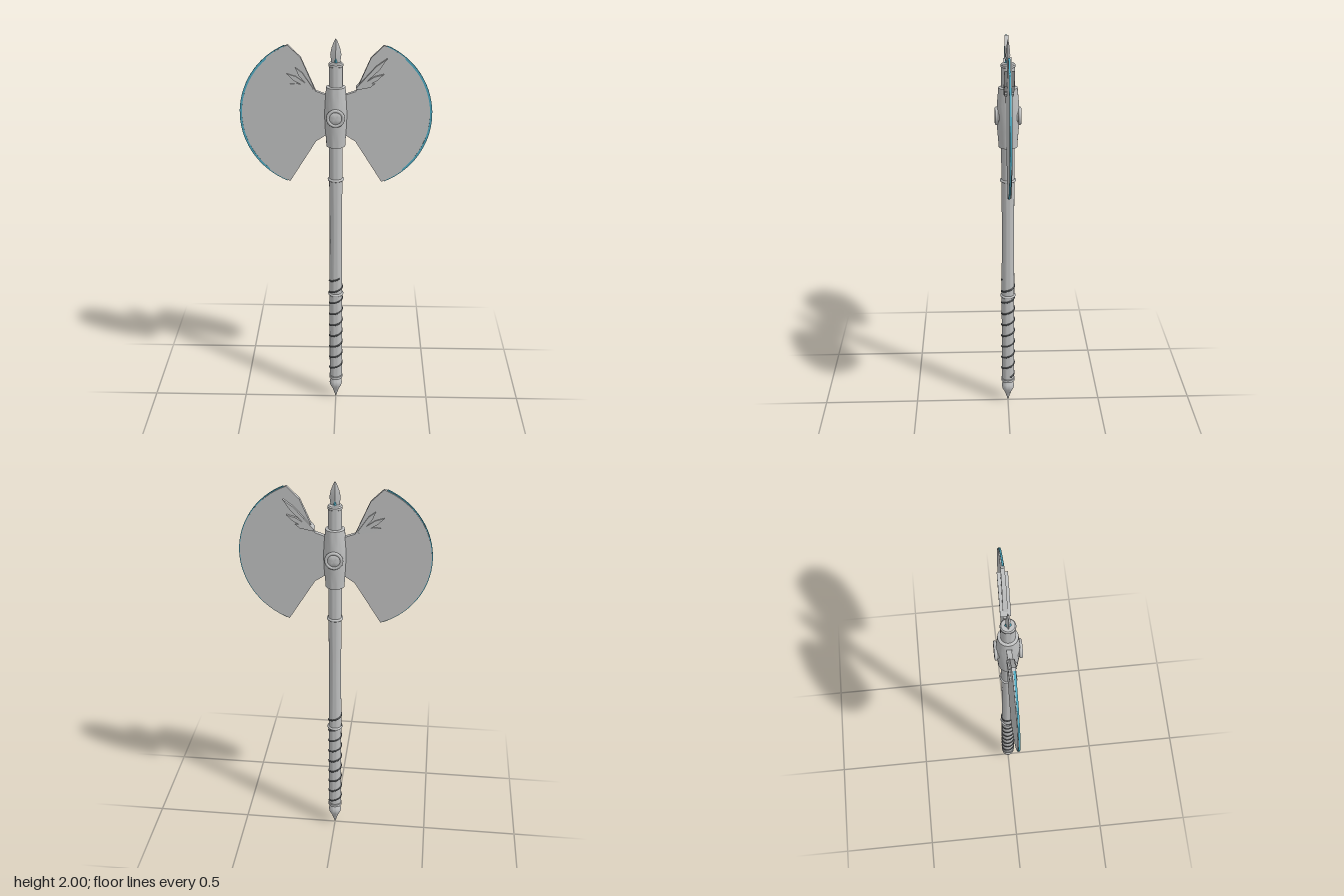
import * as THREE from 'three';
import { toCreasedNormals } from 'three/addons/utils/BufferGeometryUtils.js';

const steel = new THREE.MeshStandardMaterial({ color: 0xbfc0c0 });
steel.name = 'steel';
const wrapGrey = new THREE.MeshStandardMaterial({ color: 0x606365 });
wrapGrey.name = 'wrap grey';
const teal = new THREE.MeshStandardMaterial({ color: 0x4fa9c0 });
teal.name = 'edge teal';

const HEAD_Y = 1.63;

function part(name, geometry, material = steel) {
  const mesh = new THREE.Mesh(geometry, material);
  mesh.name = name;
  return mesh;
}

// Turned part from [radius, y] pairs listed bottom to top
function turned(points, segments = 32) {
  const profile = points.map(([r, y]) => new THREE.Vector2(r, y));
  return toCreasedNormals(new THREE.LatheGeometry(profile, segments), 0.6);
}

// Extruded plate centred on z
function plate(shape, depth, curveSegments = 12) {
  const geometry = new THREE.ExtrudeGeometry(shape, { depth, bevelEnabled: false, curveSegments });
  return geometry.translate(0, 0, -depth / 2);
}

// Points along the cutting edge, from the top tip to the bottom tip
function edgeArc(side, radius, halfAngle, steps = 32) {
  const points = [];
  for (let i = 0; i <= steps; i++) {
    const a = halfAngle * (1 - (2 * i) / steps);
    points.push(new THREE.Vector2(side * (0.0925 + radius * Math.cos(a)), HEAD_Y + radius * Math.sin(a)));
  }
  return points;
}

// Blade plate that thins toward the cutting edge
function bladeGeometry(side) {
  const at = (x, y) => new THREE.Vector2(side * x, y);
  const shape = new THREE.Shape([
    at(0, 1.735), at(0.053, 1.735), at(0.095, 1.75), at(0.164, 1.91),
    ...edgeArc(side, 0.364, 1.2),
    at(0.095, 1.50), at(0.05, 1.53), at(0, 1.53),
  ]);
  const geometry = plate(shape, 1);
  const p = geometry.attributes.position;
  for (let i = 0; i < p.count; i++) {
    const t = Math.abs(p.getX(i)) / 0.46;
    p.setZ(i, p.getZ(i) * THREE.MathUtils.lerp(0.026, 0.009, t));
  }
  return toCreasedNormals(geometry, 0.6);
}

// Thin band along the cutting edge, set slightly forward
function edgeGeometry(side) {
  const shape = new THREE.Shape([
    ...edgeArc(side, 0.3685, 1.16),
    ...edgeArc(side, 0.358, 1.16).reverse(),
  ]);
  return toCreasedNormals(plate(shape, 0.009).translate(0, 0, 0.0025), 0.6);
}

// Slim pointed finger running from a to b, passing through the blade
function finger(a, b, width, depth) {
  const length = Math.hypot(b[0] - a[0], b[1] - a[1]);
  const shape = new THREE.Shape();
  shape.moveTo(0, -width * 0.25);
  shape.lineTo(length * 0.7, -width * 0.5);
  shape.lineTo(length, 0);
  shape.lineTo(length * 0.7, width * 0.5);
  shape.lineTo(0, width * 0.25);
  const geometry = plate(shape, depth);
  geometry.rotateZ(Math.atan2(b[1] - a[1], b[0] - a[0]));
  return geometry.translate(a[0], a[1], 0);
}

// Spiral around the grip
class Helix extends THREE.Curve {
  getPoint(t, target = new THREE.Vector3()) {
    const turn = THREE.MathUtils.lerp(-0.7, 8.1, t);
    const a = turn * Math.PI * 2;
    return target.set(0.033 * Math.sin(a), 0.21 + 0.067 * turn, 0.033 * Math.cos(a));
  }
}

export function createModel() {
  const model = new THREE.Group();
  model.name = 'doubleAxe';

  // Pole and its fittings
  model.add(part('pommelSpike', turned([
    [0, 0], [0.008, 0.025], [0.018, 0.055], [0.03, 0.078], [0.034, 0.095],
    [0.031, 0.11], [0.023, 0.125], [0.023, 0.14],
  ])));
  model.add(part('shaft', turned([
    [0, 0.13], [0.036, 0.13], [0.036, 0.145], [0.033, 0.148], [0.033, 0.75],
    [0.031, 0.95], [0.031, 1.1], [0.033, 1.3], [0.033, 1.868],
    [0.035, 1.87], [0.035, 1.88], [0.03, 1.886], [0, 1.888],
  ])));
  model.add(part('gripWrap', new THREE.TubeGeometry(new Helix(), 300, 0.0045, 6), wrapGrey));
  for (const y of [0.655, 1.3]) {
    const ring = part('shaftRing', new THREE.TorusGeometry(0.033, 0.007, 10, 32));
    ring.rotation.x = Math.PI / 2;
    ring.position.y = y;
    model.add(ring);
  }

  // Leaf-shaped top spike with a coloured base
  const spike = part('topSpike', turned([
    [0, 1.88], [0.02, 1.88], [0.026, 1.925], [0.02, 1.955], [0.009, 1.985], [0, 2],
  ], 4));
  spike.scale.z = 0.42;
  model.add(spike);
  for (const side of [1, -1]) {
    const inlay = part('spikeInlay', new THREE.ConeGeometry(0.008, 0.03, 4), teal);
    inlay.position.set(0, 1.9, side * 0.008);
    model.add(inlay);
  }

  // Socket holding the blades
  model.add(part('socket', turned([
    [0.033, 1.475], [0.046, 1.475], [0.047, 1.5], [0.052, 1.56], [0.055, HEAD_Y],
    [0.053, 1.69], [0.048, 1.745], [0.046, 1.77], [0.033, 1.773],
  ])));

  // Round bosses on both faces
  for (const side of [1, -1]) {
    const boss = new THREE.Group();
    boss.name = 'boss';
    const disc = part('bossDome', turned([[0.036, 0.035], [0.036, 0.054], [0.026, 0.061], [0.012, 0.064], [0, 0.065]]));
    disc.rotation.x = Math.PI / 2;
    const rim = part('bossRim', new THREE.TorusGeometry(0.037, 0.008, 10, 32));
    rim.position.z = 0.056;
    boss.add(disc, rim);
    boss.position.y = HEAD_Y;
    boss.rotation.y = side > 0 ? 0 : Math.PI;
    model.add(boss);
  }

  // Blades with coloured cutting edges
  for (const side of [1, -1]) {
    const label = side > 0 ? 'left' : 'right';
    model.add(part(label + 'Blade', bladeGeometry(side)));
    model.add(part(label + 'CuttingEdge', edgeGeometry(side), teal));
  }

  // Fanned ornaments on the blades
  const fans = [
    { name: 'leftFan', base: [0.1, 1.765], tips: [[0.24, 1.91], [0.225, 1.835], [0.185, 1.79]], depth: 0.048 },
    { name: 'rightFan', base: [-0.11, 1.76], tips: [[-0.19, 1.865], [-0.23, 1.835], [-0.215, 1.785]], depth: 0.036 },
  ];
  for (const { name, base, tips, depth } of fans) {
    const fan = new THREE.Group();
    fan.name = name;
    tips.forEach((tip, i) => fan.add(part('fanFinger', finger(base, tip, 0.022, depth - i * 0.003))));
    model.add(fan);
  }

  return model;
}
